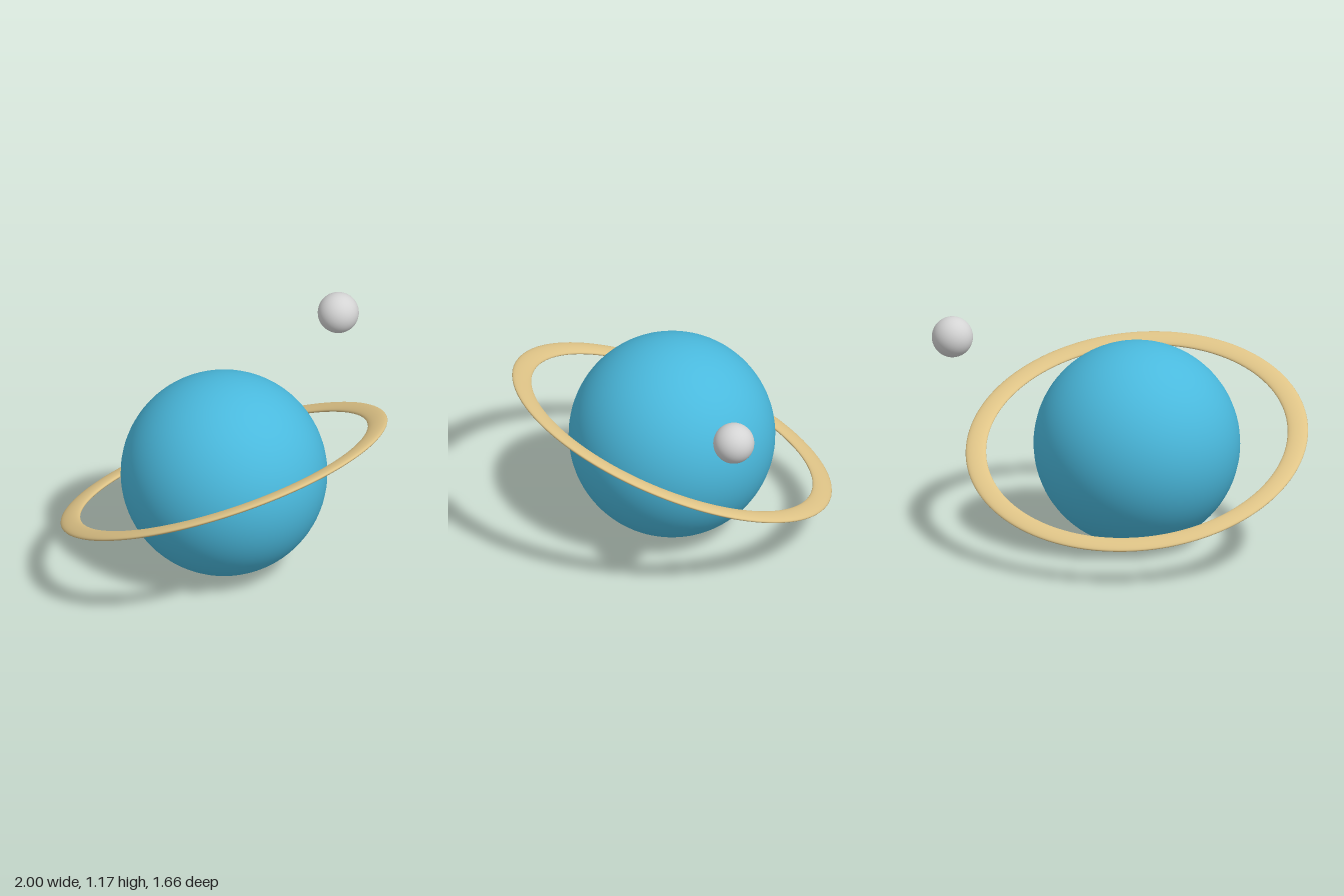
import * as THREE from 'three';

const material = (name, color) => {
  const m = new THREE.MeshStandardMaterial({ color });
  m.name = name;
  return m;
};

export function createModel() {
  const model = new THREE.Group();
  model.name = 'ringedPlanet';

  const add = (name, geometry, mat, x, y) => {
    const mesh = new THREE.Mesh(geometry, mat);
    mesh.name = name;
    mesh.position.set(x, y, 0);
    model.add(mesh);
    return mesh;
  };

  // Planet body
  add('planet', new THREE.SphereGeometry(0.542, 64, 48), material('planet blue', 0x4ab9dd), -0.1, 0.542);

  // Flattened ring, tilted up towards the front
  const ringGeometry = new THREE.TorusGeometry(0.847, 0.054, 24, 128).scale(1, 1, 0.3);
  const ring = add('ring', ringGeometry, material('ring sand', 0xdfc487), -0.1, 0.55);
  ring.rotation.x = Math.PI / 2 - 0.4;

  // Small moon
  add('moon', new THREE.SphereGeometry(0.108, 40, 28), material('moon grey', 0xd4d4d4), 0.891, 1.058);

  return model;
}
